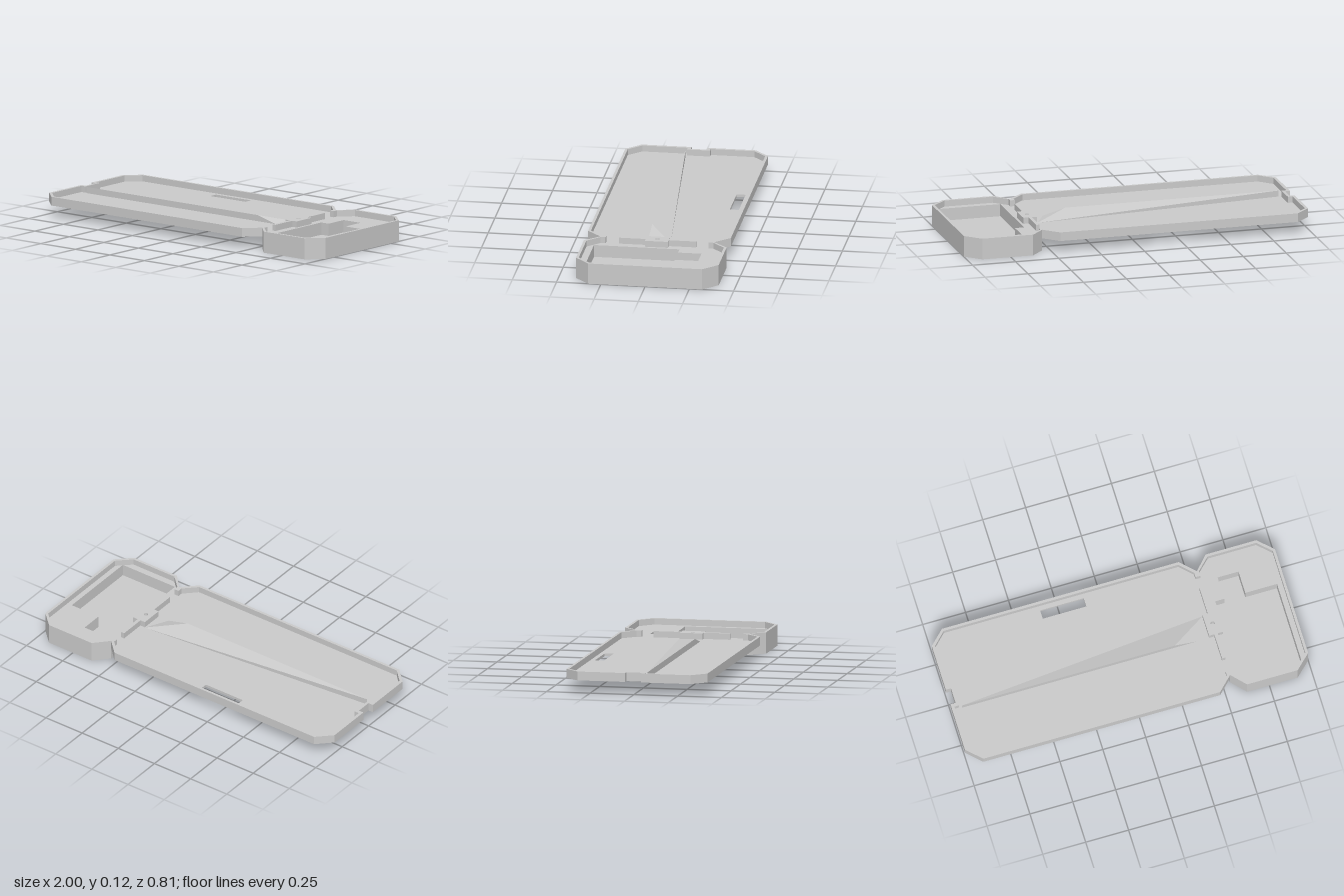
import * as THREE from 'three';

const grey = new THREE.MeshStandardMaterial({ color: 0xcacaca });
grey.name = 'plain grey';

const FLOOR = 0.085, TOP = 0.12;

// Plan points [x, z] as a counter-clockwise outline, so that hole walls face inwards
const outline = (pts) => {
  const flat = pts.map(([x, z]) => new THREE.Vector2(x, -z));
  return THREE.ShapeUtils.isClockWise(flat) ? flat.reverse() : flat;
};

const rect = (x0, x1, z0, z1) => [[x0, z0], [x1, z0], [x1, z1], [x0, z1]];

const circle = (x, z, r, n) => Array.from({ length: n }, (_, i) => {
  const a = (i / n) * Math.PI * 2;
  return [x + r * Math.cos(a), z + r * Math.sin(a)];
});

// Mirror a list of back points (z < 0) to the front to close an outline
const mirrored = (pts) => [...pts, ...pts.map(([x, z]) => [x, -z]).reverse()];

// Flat slab of a plan outline between two heights
function slab(name, pts, y0, y1, holes = []) {
  const shape = new THREE.Shape(outline(pts));
  shape.holes = holes.map((h) => new THREE.Path(outline(h)));
  const geo = new THREE.ExtrudeGeometry(shape, { depth: y1 - y0, bevelEnabled: false });
  geo.rotateX(-Math.PI / 2);
  geo.translate(0, y0, 0);
  const mesh = new THREE.Mesh(geo, grey);
  mesh.name = name;
  return mesh;
}

export function createModel() {
  const group = new THREE.Group();
  group.name = 'hingedTray';

  // Left edge with its square notch, listed front to back
  const notch = [[-1, 0.04], [-0.97, 0.04], [-0.97, -0.05], [-1, -0.05]];
  const slot = rect(-0.357, -0.103, -0.362, -0.311);

  // Long tray floor
  group.add(slab('trayFloor', [
    ...notch,
    ...mirrored([[-1, -0.322], [-0.917, -0.403], [0.463, -0.403], [0.545, -0.322]]),
  ], 0.07, FLOOR, [slot]));

  // Deep end box with a stepped pocket
  const boxOutline = mirrored([[0.545, -0.322], [0.62, -0.403], [0.915, -0.403], [1, -0.322]]);
  const pocket = [[0.595, -0.133], [0.648, -0.133], [0.648, -0.265], [0.77, -0.265],
    [0.77, -0.133], [0.955, -0.133], [0.955, 0.35], [0.595, 0.35]];
  group.add(slab('boxBottom', boxOutline, 0, 0.015));
  group.add(slab('boxBody', boxOutline, 0.015, FLOOR, [pocket]));

  // Rim running around both trays, pinched at the waist
  const outerBack = [[-1, -0.322], [-0.917, -0.403], [0.463, -0.403], [0.545, -0.322],
    [0.62, -0.403], [0.915, -0.403], [1, -0.322]];
  const innerBack = [[-0.983, -0.316], [-0.911, -0.388], [0.456, -0.388], [0.527, -0.318], [0.527, -0.29],
    [0.555, -0.29], [0.555, -0.318], [0.627, -0.388], [0.909, -0.388], [0.985, -0.316]];
  const innerNotch = [[-0.983, 0.06], [-0.955, 0.06], [-0.955, -0.07], [-0.983, -0.07]];
  group.add(slab('rim', [...notch, ...mirrored(outerBack)], FLOOR, TOP,
    [[...innerNotch, ...mirrored(innerBack)]]));

  // Divider bar with a wider, drilled centre block
  group.add(slab('dividerBar', [
    [0.53, -0.22], [0.55, -0.22], [0.55, -0.065], [0.58, -0.065], [0.58, 0.065], [0.55, 0.065],
    [0.55, 0.215], [0.53, 0.215], [0.53, 0.065], [0.5, 0.065], [0.5, -0.065], [0.53, -0.065],
  ], FLOOR, TOP, [circle(0.54, 0, 0.012, 20)]));

  // Long wedge on the tray floor: upright front wall, top sloping down to the back right
  const tipLow = [-0.94, FLOOR, 0.066], tipHigh = [-0.94, TOP, 0.066];
  const crest = [0.3, TOP, 0.066], end = [0.43, FLOOR, 0.066], back = [0.5, FLOOR, -0.068];
  const wedgeGeo = new THREE.BufferGeometry();
  wedgeGeo.setAttribute('position', new THREE.Float32BufferAttribute([
    tipHigh, crest, back,
    crest, end, back,
    tipLow, end, crest,
    tipLow, crest, tipHigh,
    tipLow, tipHigh, back,
  ].flat(), 3));
  wedgeGeo.computeVertexNormals();
  const wedge = new THREE.Mesh(wedgeGeo, grey);
  wedge.name = 'floorWedge';
  group.add(wedge);

  return group;
}
